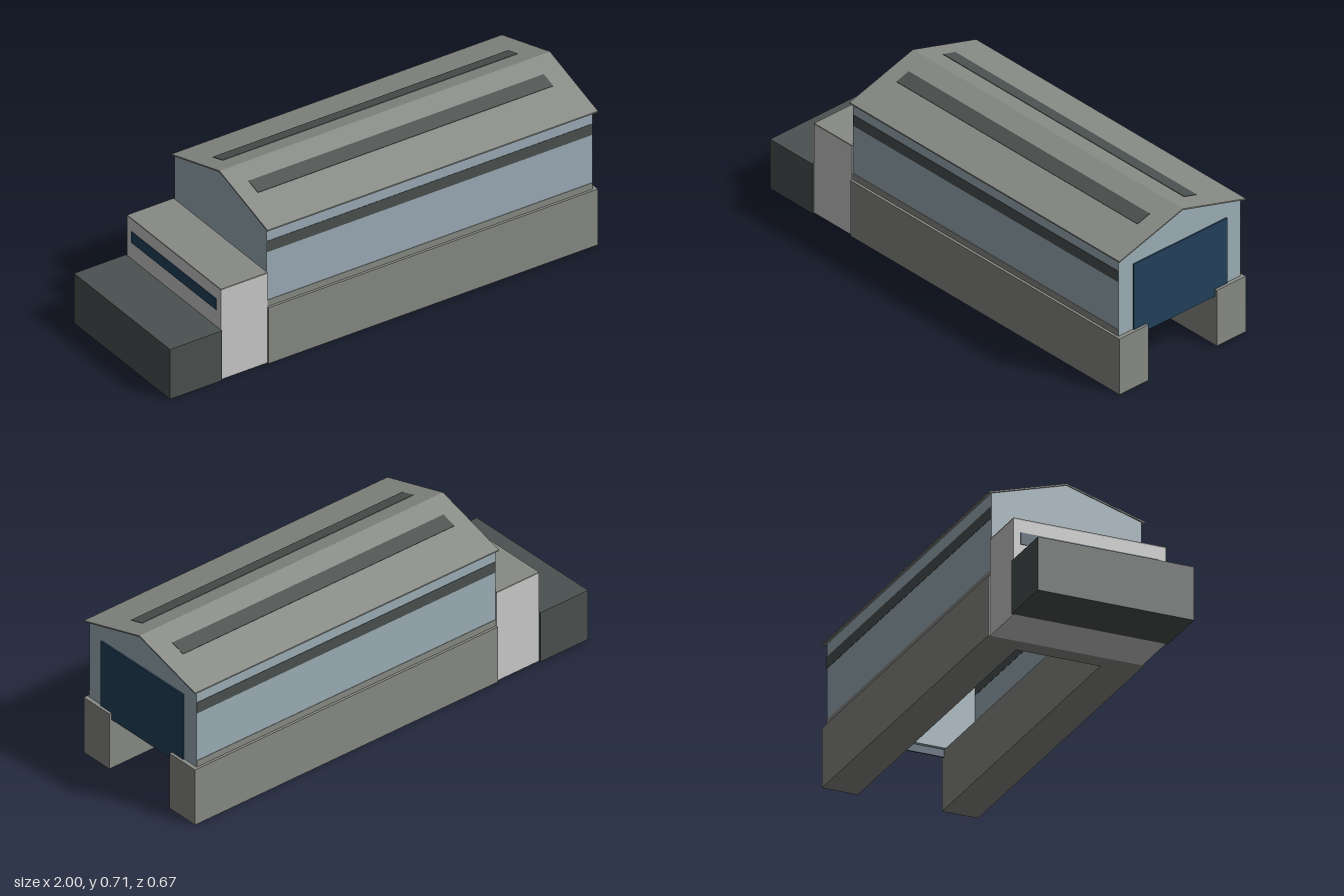
import * as THREE from 'three';

const mat = (name, color) => {
  const m = new THREE.MeshStandardMaterial({ color });
  m.name = name;
  return m;
};

export function createModel() {
  const model = new THREE.Group();
  model.name = 'boathouse';

  const concrete = mat('concreteGrey', 0x888a85);
  const cladding = mat('paleBlueCladding', 0x9cadb7);
  const dark = mat('darkGlass', 0x4b5150);
  const navy = mat('navyDoor', 0x22405a);
  const pale = mat('paleGrey', 0xcacaca);

  // Box given by its limits on each axis
  const box = (name, material, [x0, x1], [y0, y1], [z0, z1], parent = model) => {
    const mesh = new THREE.Mesh(new THREE.BoxGeometry(x1 - x0, y1 - y0, z1 - z0), material);
    mesh.position.set((x0 + x1) / 2, (y0 + y1) / 2, (z0 + z1) / 2);
    mesh.name = name;
    parent.add(mesh);
    return mesh;
  };

  // Outline in (z, y) extruded along x, or in (z, x) when laid flat
  const outline = (points) => new THREE.Shape(points.map(([a, b]) => new THREE.Vector2(a, b)));
  const extrudeX = (name, material, points, x0, x1) => {
    const geo = new THREE.ExtrudeGeometry(outline(points), { depth: x1 - x0, bevelEnabled: false });
    geo.rotateY(Math.PI / 2).translate(x0, 0, 0);
    const mesh = new THREE.Mesh(geo, material);
    mesh.name = name;
    model.add(mesh);
  };

  // U-shaped dock with a boat channel open at +x
  const dockGeo = new THREE.ExtrudeGeometry(outline([
    [-0.54, -0.333], [1, -0.333], [1, -0.18], [-0.465, -0.18],
    [-0.465, 0.18], [1, 0.18], [1, 0.333], [-0.54, 0.333],
  ]), { depth: 0.256, bevelEnabled: false });
  dockGeo.rotateX(-Math.PI / 2);
  const dock = new THREE.Mesh(dockGeo, concrete);
  dock.name = 'dock';
  model.add(dock);

  // Gable end walls
  const gable = [[-0.32, 0.256], [0.32, 0.256], [0.32, 0.611], [0, 0.706], [-0.32, 0.611]];
  extrudeX('rearGableWall', cladding, gable, -0.54, -0.525);
  extrudeX('doorGableWall', cladding, gable, 0.967, 0.982);

  // Thin pitched roof
  extrudeX('roof', concrete, [
    [-0.333, 0.608], [0, 0.706], [0.333, 0.608], [0.333, 0.614], [0, 0.712], [-0.333, 0.614],
  ], -0.545, 1);

  // Side walls, plinths, window bands and skylights, mirrored
  const pitch = Math.atan(0.294);
  for (const s of [1, -1]) {
    const side = new THREE.Group();
    side.name = s > 0 ? 'frontSide' : 'backSide';
    model.add(side);
    const span = (a, b) => (s > 0 ? [a, b] : [-b, -a]);
    box('sideWall', cladding, [-0.525, 0.967], [0.256, 0.611], span(0.305, 0.32), side);
    box('plinth', concrete, [-0.54, 0.982], [0.256, 0.285], span(0.319, 0.322), side);
    box('windowBand', dark, [-0.539, 0.981], [0.505, 0.555], span(0.304, 0.3215), side);
    const skylight = box('skylight', dark, [-0.47, 0.91], [0.674, 0.678], span(0.0885, 0.1565), side);
    skylight.rotation.x = s * pitch;
  }

  // Large door hanging over the channel
  box('channelDoor', navy, [0.982, 0.988], [0.224, 0.557], [-0.246, 0.246]);

  // Annex with flat roof and strip window
  box('annex', pale, [-0.757, -0.54], [0, 0.408], [-0.325, 0.325]);
  box('annexRoof', concrete, [-0.757, -0.54], [0.408, 0.414], [-0.325, 0.325]);
  box('annexWindow', navy, [-0.76, -0.756], [0.305, 0.355], [-0.295, 0.295]);

  // Low dark block at the rear end
  box('rearBlock', dark, [-1, -0.757], [0, 0.228], [-0.333, 0.333]);

  return model;
}
